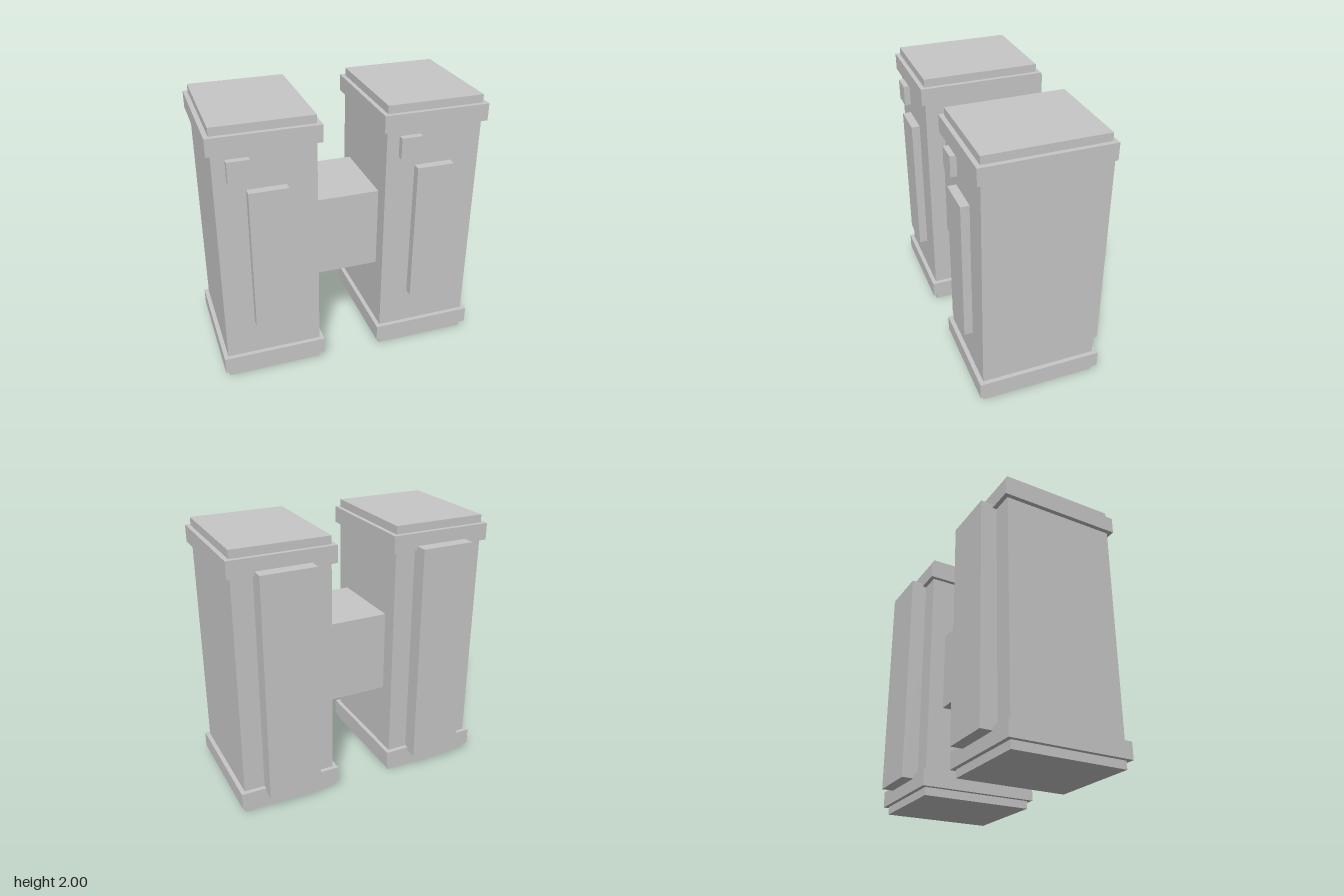
import * as THREE from 'three';

const gray = new THREE.MeshStandardMaterial({ color: 0xc7c7c7 });
gray.name = 'lightGray';

// Box given by its extents along each axis
function box(name, [x0, x1], [y0, y1], [z0, z1]) {
  const mesh = new THREE.Mesh(new THREE.BoxGeometry(x1 - x0, y1 - y0, z1 - z0), gray);
  mesh.name = name;
  mesh.position.set((x0 + x1) / 2, (y0 + y1) / 2, (z0 + z1) / 2);
  return mesh;
}

// One tower, built around its own x = 0
function tower(name, x) {
  const group = new THREE.Group();
  group.name = name;
  group.position.x = x;
  group.add(
    box('towerBody', [-0.353, 0.353], [0, 2], [-0.4, 0.46]),
    box('lowerBand', [-0.385, 0.385], [0.06, 0.184], [-0.432, 0.492]),
    box('upperBand', [-0.385, 0.385], [1.817, 1.941], [-0.432, 0.492]),
    box('frontPanel', [-0.138, 0.138], [0.462, 1.538], [0.4, 0.523]),
    box('frontButton', [-0.262, -0.108], [1.617, 1.771], [0.4, 0.507]),
    box('backPanel', [-0.2, 0.2], [0.155, 1.847], [-0.523, -0.35]),
  );
  return group;
}

export function createModel() {
  const model = new THREE.Group();
  model.name = 'twinTowers';
  model.add(
    tower('rightTower', -0.6),
    tower('leftTower', 0.6),
    // Block joining the towers
    box('connectingBridge', [-0.3, 0.3], [0.693, 1.307], [-0.28, 0.338]),
  );
  return model;
}
